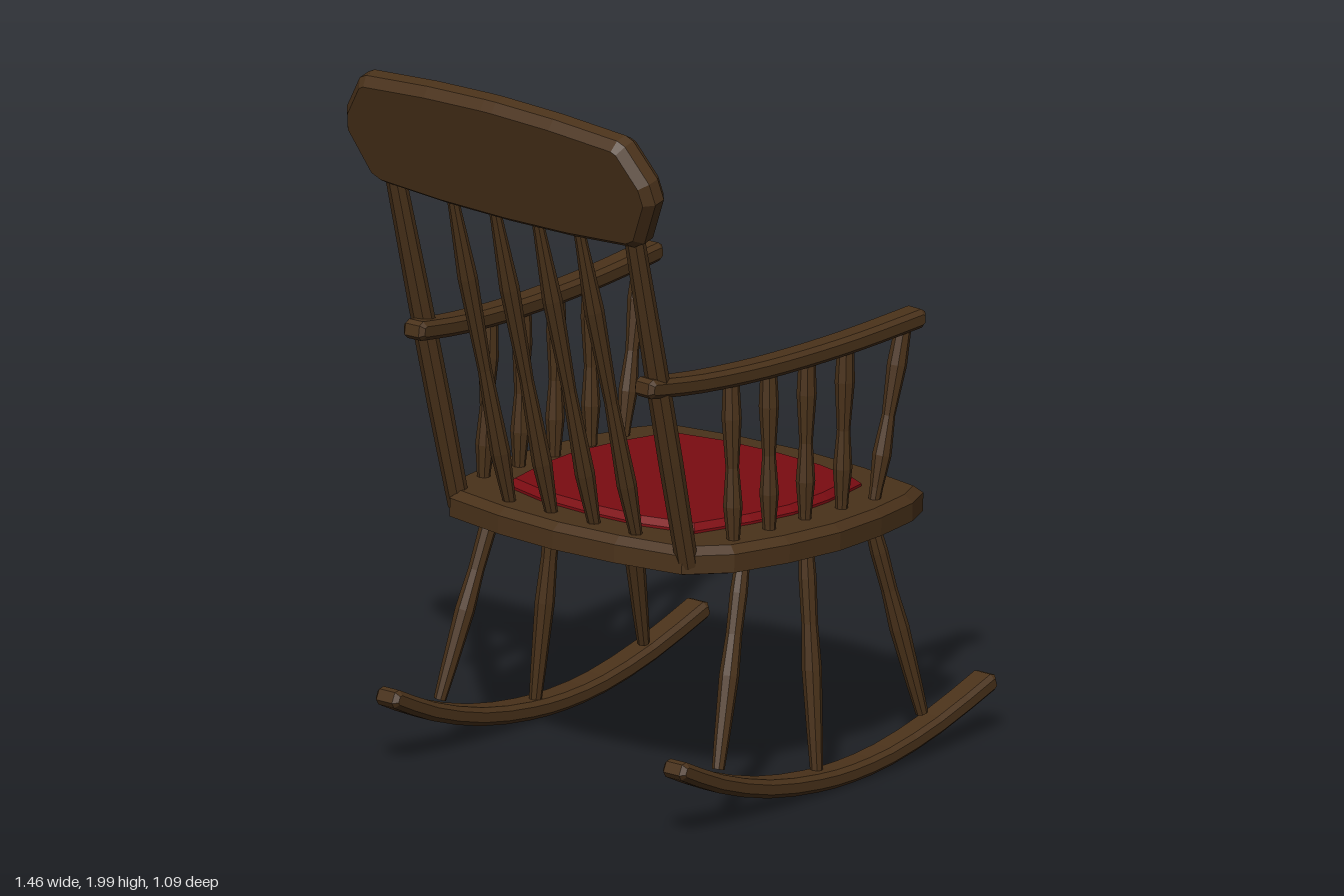
import * as THREE from 'three';

const wood = new THREE.MeshStandardMaterial({ color: 0x4a321a, flatShading: true });
const red = new THREE.MeshStandardMaterial({ color: 0x7c0c12, flatShading: true });

function add(parent, name, geometry, material = wood) {
  const mesh = new THREE.Mesh(geometry, material);
  mesh.name = name;
  parent.add(mesh);
  return mesh;
}

// Bevelled slab with the given outline, thickness centred on z = 0
function slab(points, thickness, bevel, inset = bevel) {
  const shape = new THREE.Shape(points.map(([x, y]) => new THREE.Vector2(x, y)));
  const depth = thickness - 2 * bevel;
  const geometry = new THREE.ExtrudeGeometry(shape, {
    depth, bevelThickness: bevel, bevelSize: inset, bevelOffset: -inset, bevelSegments: 1,
  });
  return geometry.translate(0, 0, -depth / 2);
}

// Mirror half an outline (second coordinate positive) across its axis
function mirrored(half) {
  const other = half.filter(([, b]) => b > 0).map(([a, b]) => [a, -b]).reverse();
  return [...half, ...other];
}

// Curved bar: a side profile of constant height following a centre line
function bar(line, height, width) {
  const curve = new THREE.CatmullRomCurve3(line.map(([x, y]) => new THREE.Vector3(x, y, 0)));
  const top = [], bottom = [];
  const n = 14;
  for (let i = 0; i <= n; i++) {
    const p = curve.getPoint(i / n), t = curve.getTangent(i / n);
    // Ends are slightly rounded off
    const h = (i === 0 || i === n ? 0.3 : 0.5) * height;
    top.push([p.x - t.y * h, p.y + t.x * h]);
    bottom.push([p.x + t.y * h, p.y - t.x * h]);
    if (i === 0 || i === n) {
      const inner = i === 0 ? 0.015 : -0.015;
      const q = p.clone().addScaledVector(t, inner);
      const up = [q.x - t.y * height / 2, q.y + t.x * height / 2];
      const down = [q.x + t.y * height / 2, q.y - t.x * height / 2];
      top.splice(i === 0 ? 1 : -1, 0, up);
      bottom.splice(i === 0 ? 1 : -1, 0, down);
    }
  }
  return slab([...bottom, ...top.reverse()], width, 0.012);
}

// Turned piece between two points; profile rows are [fraction, radius]
function turned(parent, name, from, to, profile) {
  const a = new THREE.Vector3(...from), b = new THREE.Vector3(...to);
  const length = a.distanceTo(b);
  const points = profile.map(([t, r]) => new THREE.Vector2(r, t * length));
  points.unshift(new THREE.Vector2(0, 0));
  points.push(new THREE.Vector2(0, length));
  const mesh = add(parent, name, new THREE.LatheGeometry(points, 8));
  mesh.position.copy(a);
  mesh.quaternion.setFromUnitVectors(new THREE.Vector3(0, 1, 0), b.sub(a).normalize());
}

const legProfile = [[0, 0.017], [0.15, 0.021], [0.45, 0.027], [0.65, 0.022], [0.85, 0.024], [1, 0.02]];
const armProfile = [[0, 0.016], [0.1, 0.018], [0.28, 0.026], [0.5, 0.018], [0.78, 0.027], [1, 0.022]];
const backProfile = [[0, 0.014], [0.06, 0.018], [0.2, 0.027], [0.45, 0.019], [0.73, 0.027], [0.93, 0.017], [1, 0.015]];
const postProfile = [[0, 0.03], [0.3, 0.033], [0.6, 0.032], [1, 0.027]];

export function createModel() {
  const chair = new THREE.Group();
  chair.name = 'rockingChair';

  // Seat and cushion, sloping down to the front
  const seatGroup = new THREE.Group();
  seatGroup.name = 'seatGroup';
  seatGroup.position.set(0.06, 0.695, 0);
  seatGroup.rotation.z = -0.045;
  chair.add(seatGroup);
  const seatShape = mirrored([
    [-0.53, 0], [-0.515, 0.2], [-0.475, 0.4], [-0.36, 0.485], [-0.18, 0.525], [0.01, 0.54],
    [0.2, 0.522], [0.37, 0.487], [0.47, 0.44], [0.515, 0.22], [0.53, 0],
  ].slice(0, -1).concat([[0.53, 0.02]]));
  const seat = slab(seatShape, 0.09, 0.02, 0.025).rotateX(-Math.PI / 2);
  const p = seat.attributes.position;
  for (let i = 0; i < p.count; i++) {
    // Underside tapers in further than the top
    if (p.getY(i) < -0.04) p.setXYZ(i, p.getX(i) * 0.92, p.getY(i), p.getZ(i) * 0.93);
  }
  add(seatGroup, 'seat', seat);
  const cushionShape = mirrored([
    [-0.39, 0], [-0.38, 0.17], [-0.335, 0.325], [-0.15, 0.37], [0, 0.387],
    [0.16, 0.372], [0.345, 0.33], [0.385, 0.17], [0.395, 0.02],
  ]);
  add(seatGroup, 'cushion', slab(cushionShape, 0.05, 0.016, 0.02).rotateX(-Math.PI / 2), red)
    .position.y = 0.043;

  // Rockers, legs and arms on both sides
  for (const s of [1, -1]) {
    const side = s > 0 ? 'left' : 'right';
    const rocker = bar([[-0.565, 0.21], [-0.4, 0.133], [-0.2, 0.07], [0, 0.038], [0.14, 0.031],
      [0.3, 0.041], [0.5, 0.08], [0.73, 0.15]], 0.05, 0.078);
    add(chair, side + 'Rocker', rocker).position.z = s * 0.495;

    turned(chair, side + 'RearLeg', [-0.36, 0.155, s * 0.48], [-0.195, 0.68, s * 0.425], legProfile);
    turned(chair, side + 'MiddleLeg', [0.038, 0.055, s * 0.485], [0.06, 0.67, s * 0.43], legProfile);
    turned(chair, side + 'FrontLeg', [0.477, 0.11, s * 0.48], [0.335, 0.66, s * 0.425], legProfile);

    const armGroup = new THREE.Group();
    armGroup.name = side + 'Arm';
    armGroup.position.z = s * 0.428;
    armGroup.rotation.y = -s * 0.055;
    chair.add(armGroup);
    add(armGroup, side + 'Armrest', bar([[-0.575, 1.245], [-0.38, 1.216], [-0.15, 1.197],
      [0.05, 1.191], [0.25, 1.192], [0.495, 1.202]], 0.052, 0.07));
    for (const [x0, x1] of [[-0.24, -0.23], [-0.093, -0.085], [0.053, 0.063], [0.203, 0.212], [0.335, 0.435]]) {
      turned(chair, side + 'ArmSpindle', [x0, 0.71, s * 0.432],
        [x1, 1.19, s * (0.428 + 0.055 * x1)], armProfile);
    }
  }

  // Back, turned very slightly about the vertical
  const back = new THREE.Group();
  back.name = 'back';
  back.rotation.y = -0.02;
  chair.add(back);
  for (const s of [1, -1]) {
    turned(back, 'backPost', [-0.375, 0.71, s * 0.4], [-0.618, 1.71, s * 0.42], postProfile);
    for (const z of [0.075, 0.222]) {
      turned(back, 'backSpindle', [-0.365, 0.71, s * z], [-0.612, 1.68, s * z], backProfile);
    }
  }

  // Headrest board, leaning back
  const half = [[-0.178, 0], [-0.174, 0.22], [-0.16, 0.435], [-0.14, 0.475], [-0.01, 0.54],
    [0.05, 0.53], [0.15, 0.465], [0.162, 0.44], [0.178, 0.22], [0.184, 0.02]];
  const outline = mirrored(half).map(([y, z]) => [z, y]).reverse();
  const board = add(back, 'headrest', slab(outline, 0.085, 0.025, 0.022).rotateY(Math.PI / 2));
  board.position.set(-0.648, 1.815, 0);
  board.rotation.z = 0.235;

  return chair;
}
